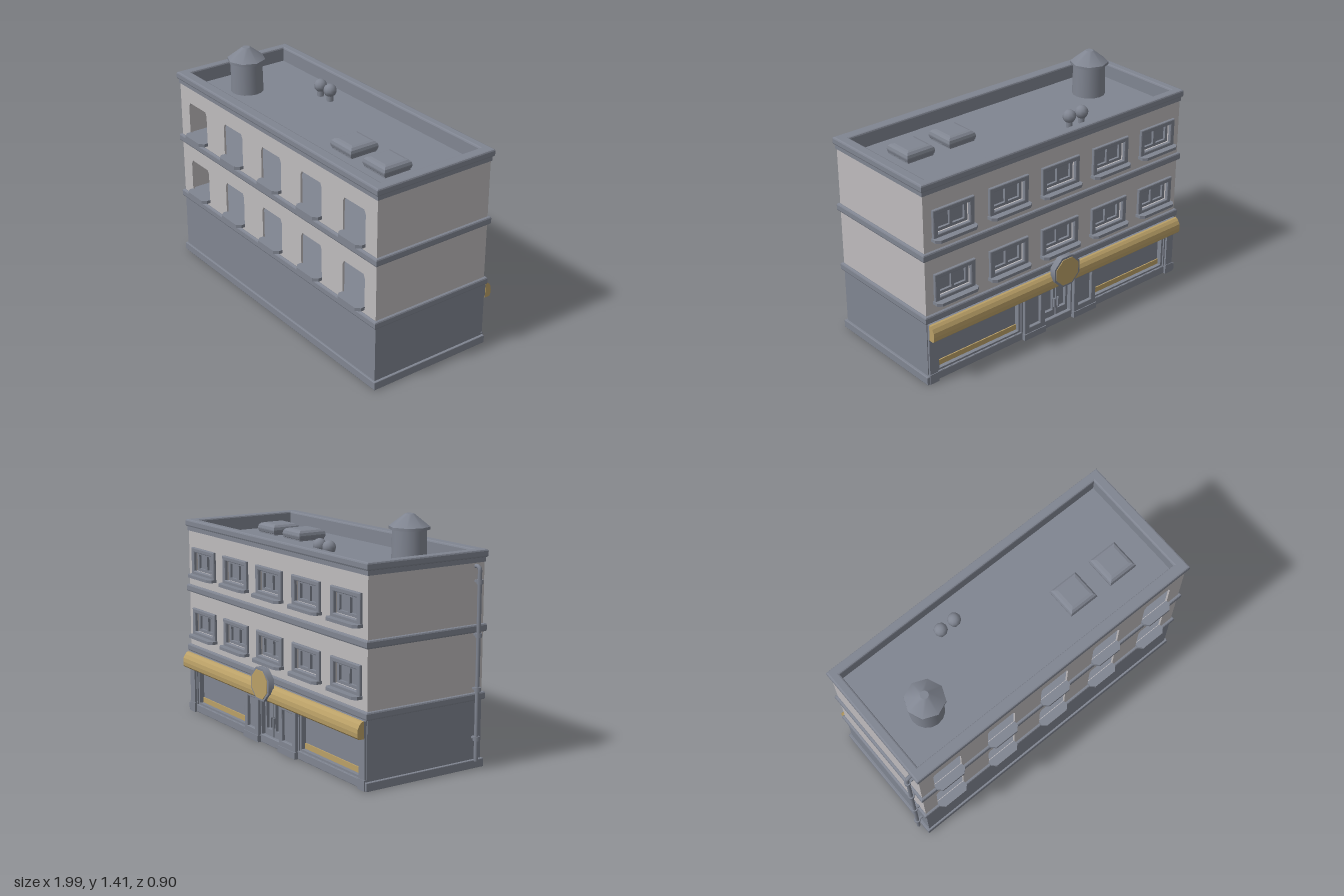
import * as THREE from 'three';

const grey = new THREE.MeshStandardMaterial({ color: 0x808591 });
grey.name = 'slate grey';
const pale = new THREE.MeshStandardMaterial({ color: 0xbebbbd });
pale.name = 'pale plaster';
const tan = new THREE.MeshStandardMaterial({ color: 0xbaa067 });
tan.name = 'tan trim';

// Body limits and window layout
const X0 = -0.945, X1 = 0.98, Z0 = -0.375, Z1 = 0.4, CX = 0.0175;
const columns = [-0.755, -0.37, 0.0175, 0.4, 0.785];
const storeys = [0, -0.385];

const polygon = (pts) => new THREE.Shape(pts.map(([x, y]) => new THREE.Vector2(x, y)));
const rect = (x0, x1, y0, y1) => polygon([[x0, y0], [x1, y0], [x1, y1], [x0, y1]]);

export function createModel() {
  const model = new THREE.Group();

  function add(name, geometry, material, parent = model) {
    const mesh = new THREE.Mesh(geometry, material);
    mesh.name = name;
    parent.add(mesh);
    return mesh;
  }

  // Box given by its limits
  function block(name, x0, x1, y0, y1, z0, z1, material = grey) {
    const g = new THREE.BoxGeometry(x1 - x0, y1 - y0, z1 - z0);
    g.translate((x0 + x1) / 2, (y0 + y1) / 2, (z0 + z1) / 2);
    return add(name, g, material);
  }

  // Upright plate, outline in x and y
  function plate(name, shape, z0, z1, material = grey, bevel = 0) {
    const g = new THREE.ExtrudeGeometry(shape, {
      depth: z1 - z0 - 2 * bevel, bevelEnabled: bevel > 0, bevelSize: bevel,
      bevelThickness: bevel, bevelOffset: -bevel, bevelSegments: 2,
    });
    g.translate(0, 0, z0 + bevel);
    return add(name, g, material);
  }

  // Flat slab, outline in x and -z
  function slab(name, shape, y0, y1, material = grey, bevel = 0, segments = 2) {
    const g = new THREE.ExtrudeGeometry(shape, {
      depth: y1 - y0 - 2 * bevel, bevelEnabled: bevel > 0, bevelSize: bevel,
      bevelThickness: bevel, bevelOffset: -bevel, bevelSegments: segments,
    });
    g.rotateX(-Math.PI / 2);
    g.translate(0, y0 + bevel, 0);
    return add(name, g, material);
  }

  // Plan outline of the body grown by o, optionally hollow
  function plan(o, hollow = false) {
    const s = rect(X0 - o, X1 + o, -Z1 - o, -Z0 + o);
    if (hollow) s.holes.push(rect(-0.905, 0.93, -0.345, 0.335));
    return s;
  }

  // Ground storey, with the shop front cut into its back
  block('groundStorey', X0, X1, 0, 0.4, -0.335, Z1);
  const shop = rect(X0, X1, 0, 0.4);
  shop.holes.push(rect(0.3, 0.91, 0.05, 0.3), rect(-0.875, -0.28, 0.05, 0.3), rect(-0.085, 0.125, 0.012, 0.3));
  plate('shopFront', shop, Z0, -0.334);
  slab('plinth', polygon([[X0 - 0.015, -0.412], [X1 + 0.015, -0.412], [X1 + 0.015, 0.388],
    [0.92, 0.388], [0.92, 0.377], [-0.885, 0.377], [-0.885, 0.388], [X0 - 0.015, 0.388]]), 0, 0.05, grey, 0.004);

  // Pale upper walls
  block('leftWall', X1 - 0.012, X1, 0.41, 1.165, Z0, Z1, pale);
  block('rightWall', X0, X0 + 0.012, 0.41, 1.165, Z0, Z1, pale);
  const front = rect(X0, X1, 0.41, 1.165);
  const back = rect(X0, X1, 0.41, 1.165);
  for (const dy of storeys) for (const x of columns) {
    front.holes.push(polygon([[x - 0.0975, 0.845 + dy], [x + 0.0975, 0.845 + dy], [x + 0.0975, 1.035 + dy],
      [x + 0.085, 1.06 + dy], [x - 0.085, 1.06 + dy], [x - 0.0975, 1.035 + dy]]));
    back.holes.push(rect(x - 0.11, x + 0.11, 0.915 + dy, 1.035 + dy));
  }
  plate('frontWall', front, Z1 - 0.012, Z1, pale);
  plate('backWall', back, Z0, Z0 + 0.012, pale);

  // Floor bands, parapet and roof
  for (const [y0, y1] of [[0.388, 0.435], [0.773, 0.82]]) slab('floorBand', plan(0.015), y0, y1, grey, 0.01);
  slab('roof', plan(-0.013), 1.115, 1.14);
  slab('parapetCurb', plan(-0.013, true), 1.13, 1.18);
  slab('parapetNeck', plan(0.006, true), 1.16, 1.195);
  slab('parapetCap', plan(0.015, true), 1.185, 1.23, grey, 0.01);

  for (const dy of storeys) for (const x of columns) {
    // Front sill
    slab('frontSill', polygon([[x - 0.1, -0.395], [x - 0.1, -0.425], [x - 0.075, -0.45],
      [x + 0.075, -0.45], [x + 0.1, -0.425], [x + 0.1, -0.395]]), 0.842 + dy, 0.862 + dy);
    // Back window: raised frame, sill, recessed sashes and pane
    const frame = rect(x - 0.14, x + 0.14, 0.885 + dy, 1.062 + dy);
    frame.holes.push(rect(x - 0.108, x + 0.108, 0.917 + dy, 1.033 + dy));
    plate('backWindowFrame', frame, -0.392, -0.37, grey, 0.006);
    slab('backSill', polygon([[x - 0.145, 0.37], [x + 0.145, 0.37], [x + 0.145, 0.41],
      [x + 0.12, 0.43], [x - 0.12, 0.43], [x - 0.145, 0.41]]), 0.878 + dy, 0.896 + dy);
    const sash = rect(x - 0.12, x + 0.12, 0.905 + dy, 1.045 + dy);
    for (const s of [-1, 1]) {
      const a = x + s * 0.01, b = x + s * 0.09;
      sash.holes.push(rect(Math.min(a, b), Math.max(a, b), 0.932 + dy, 1.018 + dy));
    }
    plate('backWindowSash', sash, -0.363, -0.348);
    block('backWindowPane', x - 0.13, x + 0.13, 0.9 + dy, 1.05 + dy, -0.348, -0.34);
  }

  // Shop window frames with a tan strip at the bottom
  for (const [a, b] of [[0.3, 0.91], [-0.875, -0.28]]) {
    const f = rect(a, b, 0.05, 0.3);
    f.holes.push(rect(a + 0.015, b - 0.015, 0.062, 0.285));
    plate('shopWindowFrame', f, -0.366, -0.33);
    block('shopWindowStrip', a + 0.015, b - 0.015, 0.062, 0.095, -0.342, -0.333, tan);
  }

  // Pilasters beside the door and at the corners
  for (const [a, b] of [[0.135, 0.29], [-0.27, -0.095]]) {
    const p = rect(a, b, 0.015, 0.3);
    p.holes.push(rect(a + 0.035, b - 0.035, 0.075, 0.26));
    plate('doorPilaster', p, -0.395, -0.37, grey, 0.004);
    block('pilasterFoot', a - 0.004, b + 0.004, 0, 0.04, -0.4, -0.37);
  }
  for (const [a, b] of [[0.92, 0.975], [-0.94, -0.885]]) {
    block('cornerPilaster', a, b, 0, 0.3, -0.388, -0.37);
    block('cornerFoot', a - 0.004, b + 0.004, 0, 0.06, -0.392, -0.37);
  }

  // Double door
  for (const s of [-1, 1]) {
    const c = 0.02 + s * 0.05;
    const d = rect(c - 0.046, c + 0.046, 0.014, 0.28);
    d.holes.push(rect(c - 0.03, c + 0.03, 0.09, 0.255));
    plate('doorLeaf', d, -0.355, -0.334);
    block('doorHandle', 0.02 + s * 0.014 - 0.004, 0.02 + s * 0.014 + 0.004, 0.11, 0.17, -0.37, -0.355);
  }

  // Shop canopy: grey backing with a rounded tan front
  block('canopyBacking', X0 + 0.005, X1 - 0.005, 0.292, 0.385, -0.405, -0.37);
  const profile = polygon([[0.395, 0.29], [0.425, 0.29], [0.434, 0.3], [0.437, 0.325],
    [0.434, 0.35], [0.422, 0.372], [0.408, 0.385], [0.395, 0.387]]);
  const canopy = new THREE.ExtrudeGeometry(profile, { depth: X1 - X0 - 0.005, bevelEnabled: false });
  canopy.rotateY(Math.PI / 2);
  canopy.rotateY(Math.PI);
  // The profile's depth axis runs along z, so turn it to face the back
  canopy.rotateY(0);
  canopy.computeBoundingBox();
  const bb = canopy.boundingBox;
  if (bb.min.z > 0) canopy.rotateY(Math.PI);
  canopy.computeBoundingBox();
  canopy.translate(CX - (canopy.boundingBox.min.x + canopy.boundingBox.max.x) / 2, 0, 0);
  add('canopy', canopy, tan);

  // Octagonal sign plate
  const disc = (r, z0, z1) => new THREE.CylinderGeometry(r, r, z1 - z0, 8)
    .rotateY(Math.PI / 8).rotateX(Math.PI / 2).translate(CX, 0.387, (z0 + z1) / 2);
  add('signRim', disc(0.104, -0.451, -0.412), grey);
  add('signFace', disc(0.09, -0.455, -0.45), tan);

  // Water tank with a conical cap
  const tank = new THREE.Group();
  tank.name = 'waterTank';
  tank.position.set(-0.655, 0, 0.107);
  model.add(tank);
  add('tankBody', new THREE.CylinderGeometry(0.096, 0.1, 0.2, 16).translate(0, 1.235, 0), grey, tank);
  add('tankEave', new THREE.CylinderGeometry(0.115, 0.115, 0.016, 8).translate(0, 1.335, 0), grey, tank);
  add('tankCap', new THREE.CylinderGeometry(0.025, 0.115, 0.07, 8).translate(0, 1.378, 0), grey, tank);

  // Mushroom vents
  for (const x of [-0.315, -0.22]) {
    add('ventStem', new THREE.CylinderGeometry(0.02, 0.02, 0.07, 10).translate(x, 1.172, -0.192), grey);
    add('ventCap', new THREE.SphereGeometry(0.04, 10, 8).translate(x, 1.207, -0.192), grey);
  }

  // Skylights
  for (const x of [0.4, 0.69]) {
    slab('skylightCurb', rect(x - 0.088, x + 0.088, -0.193, -0.017), 1.135, 1.165);
    slab('skylightDome', rect(x - 0.095, x + 0.095, -0.2, -0.01), 1.135, 1.205, grey, 0.032, 3);
  }

  // Drainpipe with an elbow and collars
  const path = new THREE.CurvePath();
  const v = (x, y) => new THREE.Vector3(x, y, 0.34);
  path.add(new THREE.LineCurve3(v(-0.98, 0.05), v(-0.98, 1.12)));
  path.add(new THREE.QuadraticBezierCurve3(v(-0.98, 1.12), v(-0.98, 1.142), v(-0.96, 1.142)));
  path.add(new THREE.LineCurve3(v(-0.96, 1.142), v(-0.935, 1.142)));
  add('drainpipe', new THREE.TubeGeometry(path, 80, 0.012, 8), grey);
  for (const y of [0.18, 0.46, 0.765, 1.06]) {
    add('pipeCollar', new THREE.CylinderGeometry(0.019, 0.019, 0.024, 10).translate(-0.981, y, 0.34), grey);
    block('pipeBracket', -0.98, X0 + 0.005, y - 0.006, y + 0.006, 0.333, 0.347);
  }
  return model;
}
